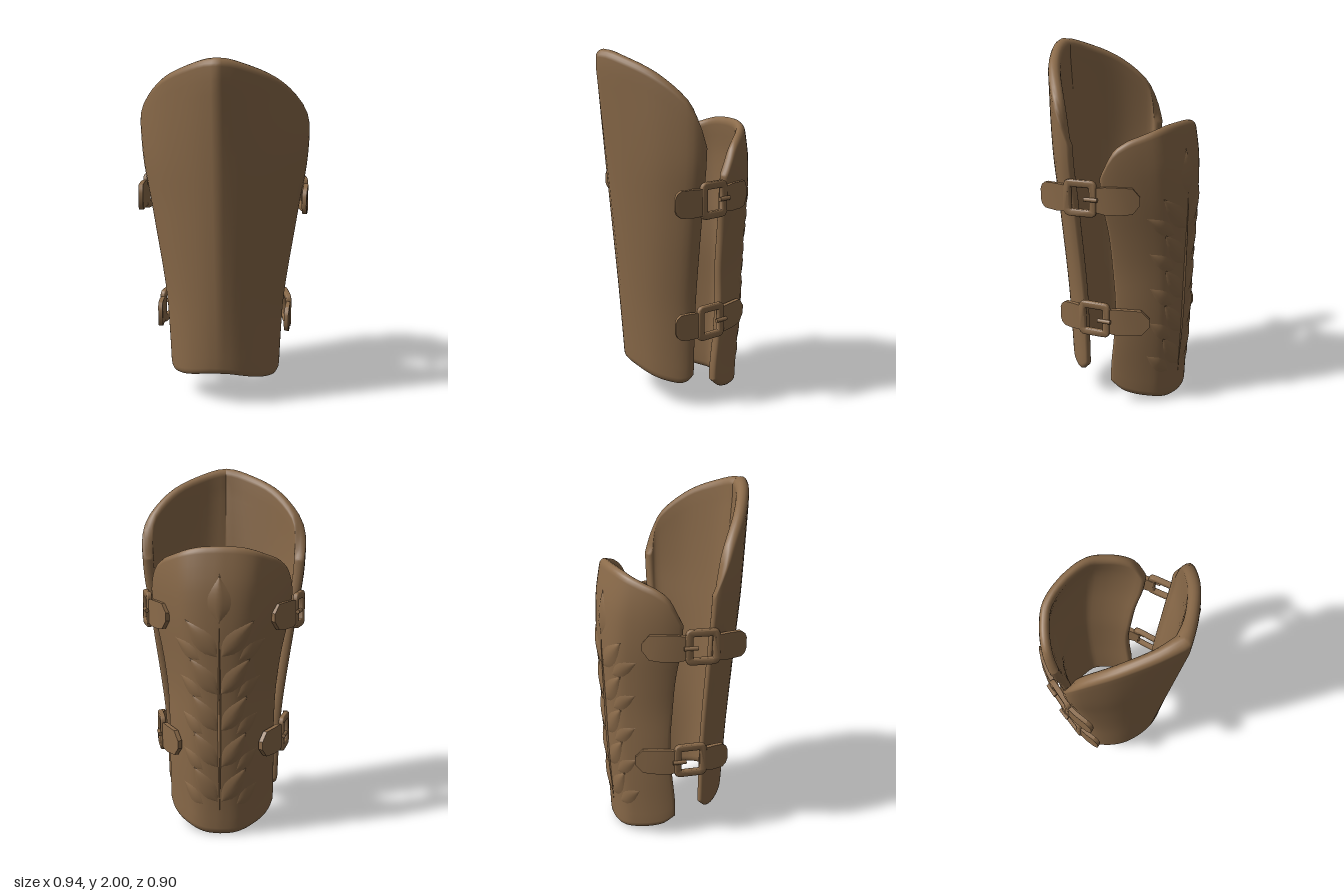
import * as THREE from 'three';
import { mergeVertices, toCreasedNormals } from 'three/addons/utils/BufferGeometryUtils.js';

const { lerp, clamp } = THREE.MathUtils;

// Smooth interpolation through evenly spaced values, t in 0..1
function spline(a, t) {
  const p = clamp(t, 0, 1) * (a.length - 1), i = Math.min(Math.floor(p), a.length - 2), f = p - i;
  const p0 = a[Math.max(i - 1, 0)], p1 = a[i], p2 = a[i + 1], p3 = a[Math.min(i + 2, a.length - 1)];
  const m1 = (p2 - p0) / 2, m2 = (p3 - p1) / 2, d = p2 - p1;
  return p1 + f * (m1 + f * (3 * d - 2 * m1 - m2 + f * (m1 + m2 - 2 * d)));
}

function build(positions, index) {
  const g = new THREE.BufferGeometry();
  g.setAttribute('position', new THREE.Float32BufferAttribute(positions, 3));
  g.setIndex(index);
  return g;
}

// Shin plate: ridged section with a rounder inside, domed top edge and curved bottom edge
const shin = {
  width: [.315, .32, .328, .34, .365, .395, .425, .458, .47, .47, .47],
  topX: [0, .15, .32, .53, .70, .85, .97, 1, .97], topZ: [.45, .42, .378, .315, .255, .185, .115, .06, .012],
  lowX: [0, .19, .38, .57, .73, .86, .95, 1, 1], lowZ: [.273, .267, .25, .222, .182, .136, .092, .05, .015],
  top: [2, 1.993, 1.967, 1.925, 1.875, 1.805, 1.715, 1.61, 1.49],
  bottom: [.205, .202, .19, .175, .16, .15, .145, .16, .19],
  thick: (y, s) => lerp(.04, .07, y / 2) + .02 * y / 2 * Math.exp(-((s / .16) ** 2)),
  point(u, y) {
    const s = Math.abs(u), t = clamp((y - .2) / 1.7, 0, 1);
    const x = spline(shin.width, y / 2) * lerp(spline(shin.lowX, s), spline(shin.topX, s), t);
    return new THREE.Vector3(Math.sign(u) * x, y, lerp(spline(shin.lowZ, s), spline(shin.topZ, s), t));
  },
};

// Calf plate: rounded section, facing -z
const calf = {
  width: [.295, .3, .3, .3, .31, .338, .38, .403, .405],
  depth: [-.388, -.397, -.412, -.422, -.428, -.435, -.44, -.43, -.395],
  edge: [-.13, -.13, -.15, -.16, -.15, -.145, -.13, -.13, -.13],
  secX: [0, .25, .47, .65, .80, .92, 1], secZ: [1, .97, .87, .67, .45, .22, 0],
  top: [1.602, 1.598, 1.582, 1.555, 1.525, 1.465, 1.33],
  bottom: [.003, .006, .018, .03, .045, .07, .12],
  thick: () => .055,
  point(u, y) {
    const s = Math.abs(u), t = y / 1.6;
    return new THREE.Vector3(-Math.sign(u) * spline(calf.width, t) * spline(calf.secX, s), y,
      lerp(spline(calf.edge, t), spline(calf.depth, t), spline(calf.secZ, s)));
  },
};

function normalAt(plate, u, y) {
  const e = .02;
  const du = plate.point(Math.min(u + e, 1), y).sub(plate.point(Math.max(u - e, -1), y));
  const dy = plate.point(u, y + e).sub(plate.point(u, y - e));
  return du.cross(dy).normalize();
}

// Parameters from 0 to 1, packed closer where the rim rounds over
function rimmedSteps(r, n) {
  const near = [0, .08, .3, .62].map(k => k * r), out = [...near];
  for (let i = 0; i <= n; i++) out.push(lerp(r, 1 - r, i / n));
  return out.concat(near.reverse().map(k => 1 - k));
}

// Solid plate with a rounded rim all round
function plateGeometry(plate) {
  const r = .035, uLen = 1.1, vLen = 1.5, pos = [], idx = [];
  const us = rimmedSteps(r / uLen, 32), vs = rimmedSteps(r / vLen, 24), n = us.length, m = vs.length;
  for (const side of [1, -1])
    for (const v of vs) for (const q of us) {
      const u = q * 2 - 1, s = Math.abs(u);
      const y = lerp(spline(plate.bottom, s), spline(plate.top, s), v);
      const d = Math.min(q * uLen, (1 - q) * uLen, v * vLen, (1 - v) * vLen, r);
      const f = Math.sqrt(Math.max(0, 1 - (1 - d / r) ** 2));
      const p = plate.point(u, y).addScaledVector(normalAt(plate, u, y), -plate.thick(y, s) * (1 - side * f) / 2);
      pos.push(p.x, p.y, p.z);
    }
  for (let j = 0; j < m - 1; j++) for (let i = 0; i < n - 1; i++) {
    const a = j * n + i, b = a + 1, c = b + n, d = a + n, o = n * m;
    idx.push(a, b, c, a, c, d, o + a, o + c, o + b, o + a, o + d, o + c);
  }
  const g = mergeVertices(build(pos, idx), 1e-5);
  g.computeVertexNormals();
  return g;
}

// Embossed leaf lying on the calf plate, with a raised midrib
function leafGeometry(cx, cy, angle, length, width, height) {
  const N = 10, M = 6, pos = [], idx = [], c = Math.cos(angle), s = Math.sin(angle);
  for (let j = 0; j <= M; j++) for (let i = 0; i <= N; i++) {
    const a = i / N, b = j / M * 2 - 1, w = Math.sin(Math.PI * a ** .8) * width / 2;
    const along = a * length, across = b * w;
    const u = (cx + along * c - across * s) / .5, y = cy + along * s + across * c;
    const lift = -.004 + height * (1 - Math.abs(b) ** 1.5) * Math.sin(Math.PI * clamp(a, .04, .96)) ** .5;
    const p = calf.point(u, y).addScaledVector(normalAt(calf, u, y), lift);
    pos.push(p.x, p.y, p.z);
    if (i < N && j < M) {
      const k = j * (N + 1) + i;
      idx.push(k, k + 1, k + N + 2, k, k + N + 2, k + N + 1);
    }
  }
  const g = build(pos, idx);
  g.computeVertexNormals();
  return g;
}

// Strap along points [x, z, half height], running front to back
function strapGeometry(path, yc, thick) {
  const pos = [], idx = [], n = path.length;
  path.forEach(([x, z, h], i) => {
    const a = path[Math.max(i - 1, 0)], b = path[Math.min(i + 1, n - 1)];
    const t = new THREE.Vector2(b[0] - a[0], b[1] - a[1]).normalize().multiplyScalar(thick / 2);
    for (const [o, v] of [[1, 1], [1, -1], [-1, -1], [-1, 1]]) pos.push(x - t.y * o, yc + v * h, z + t.x * o);
  });
  for (let i = 0; i < n - 1; i++) for (let k = 0; k < 4; k++) {
    const a = i * 4 + k, b = i * 4 + (k + 1) % 4;
    idx.push(a, b, b + 4, a, b + 4, a + 4);
  }
  const e = (n - 1) * 4;
  idx.push(0, 3, 2, 0, 2, 1, e, e + 1, e + 2, e, e + 2, e + 3);
  return toCreasedNormals(build(pos, idx), .6);
}

function roundedRect(shape, w, h, r) {
  const x = w / 2, y = h / 2;
  shape.moveTo(-x + r, -y).lineTo(x - r, -y).quadraticCurveTo(x, -y, x, -y + r).lineTo(x, y - r)
    .quadraticCurveTo(x, y, x - r, y).lineTo(-x + r, y).quadraticCurveTo(-x, y, -x, y - r)
    .lineTo(-x, -y + r).quadraticCurveTo(-x, -y, -x + r, -y);
  return shape;
}

function buckleGeometry() {
  const shape = roundedRect(new THREE.Shape(), .17, .185, .03);
  shape.holes.push(roundedRect(new THREE.Path(), .12, .135, .012));
  const g = new THREE.ExtrudeGeometry(shape, {
    depth: .014, bevelEnabled: true, bevelSize: .008, bevelThickness: .008, bevelSegments: 2, curveSegments: 4,
  });
  return toCreasedNormals(g.translate(0, 0, -.007), .9);
}

function mirrored(geometry) {
  const g = mergeVertices(geometry.clone().scale(-1, 1, 1));
  const ix = g.index;
  for (let i = 0; i < ix.count; i += 3) {
    const t = ix.getX(i);
    ix.setX(i, ix.getX(i + 1));
    ix.setX(i + 1, t);
  }
  return g;
}

export function createModel() {
  const model = new THREE.Group();
  model.name = 'legGuard';
  const leather = new THREE.MeshStandardMaterial({ color: 0x8b6b4a });
  leather.name = 'brownLeather';
  const add = (name, geometry, parent = model) => {
    const mesh = new THREE.Mesh(geometry, leather);
    mesh.name = name;
    parent.add(mesh);
  };
  const addPair = (name, g) => {
    add(name + 'Left', g);
    add(name + 'Right', mirrored(g));
  };

  add('shinPlate', plateGeometry(shin));
  add('calfPlate', plateGeometry(calf));

  // Leaf relief: stem, top bud and paired broad leaves
  const relief = new THREE.Group();
  relief.name = 'leafRelief';
  model.add(relief);
  add('bud', leafGeometry(0, 1.2, Math.PI / 2, .26, .14, .014), relief);
  add('stem', leafGeometry(0, .14, Math.PI / 2, 1.1, .04, .013), relief);
  for (let i = 0; i < 5; i++) {
    const y = .2 + i * .205;
    for (const side of [0, 1]) {
      const turn = a => side ? Math.PI - a : a, sx = side ? -1 : 1;
      add('innerLeaf', leafGeometry(sx * .015, y, turn(.9), .25, .13, .014), relief);
      add('outerLeaf', leafGeometry(sx * .1, y - .02, turn(.6), .2, .11, .01), relief);
    }
  }

  // Buckled straps on both sides
  const straps = [
    { name: 'upper', y: 1.22, buckle: [.43, -.032, .27],
      front: [[.45, .21, .03], [.452, .2, .055], [.454, .178, .072], [.457, .1, .075], [.45, .03, .07]],
      back: [[.41, -.09, .06], [.385, -.16, .075], [.347, -.235, .075], [.309, -.285, .07], [.284, -.315, .022]] },
    { name: 'lower', y: .513, buckle: [.354, -.063, .21],
      front: [[.362, .16, .03], [.364, .15, .055], [.366, .128, .072], [.369, .07, .075], [.366, 0, .07]],
      back: [[.338, -.12, .06], [.32, -.17, .075], [.29, -.235, .075], [.246, -.305, .07], [.222, -.342, .022]] },
  ];
  for (const s of straps) {
    const place = g => g.rotateY(Math.PI / 2 + s.buckle[2]).translate(s.buckle[0], s.y, s.buckle[1]);
    addPair(s.name + 'FrontStrap', strapGeometry(s.front, s.y - .005, .025));
    addPair(s.name + 'BackStrap', strapGeometry(s.back, s.y - .005, .025));
    addPair(s.name + 'Buckle', place(buckleGeometry()));
    addPair(s.name + 'Pin', place(new THREE.CylinderGeometry(.012, .012, .075, 8)
      .rotateZ(Math.PI / 2).translate(.065, 0, .018)));
  }
  return model;
}
